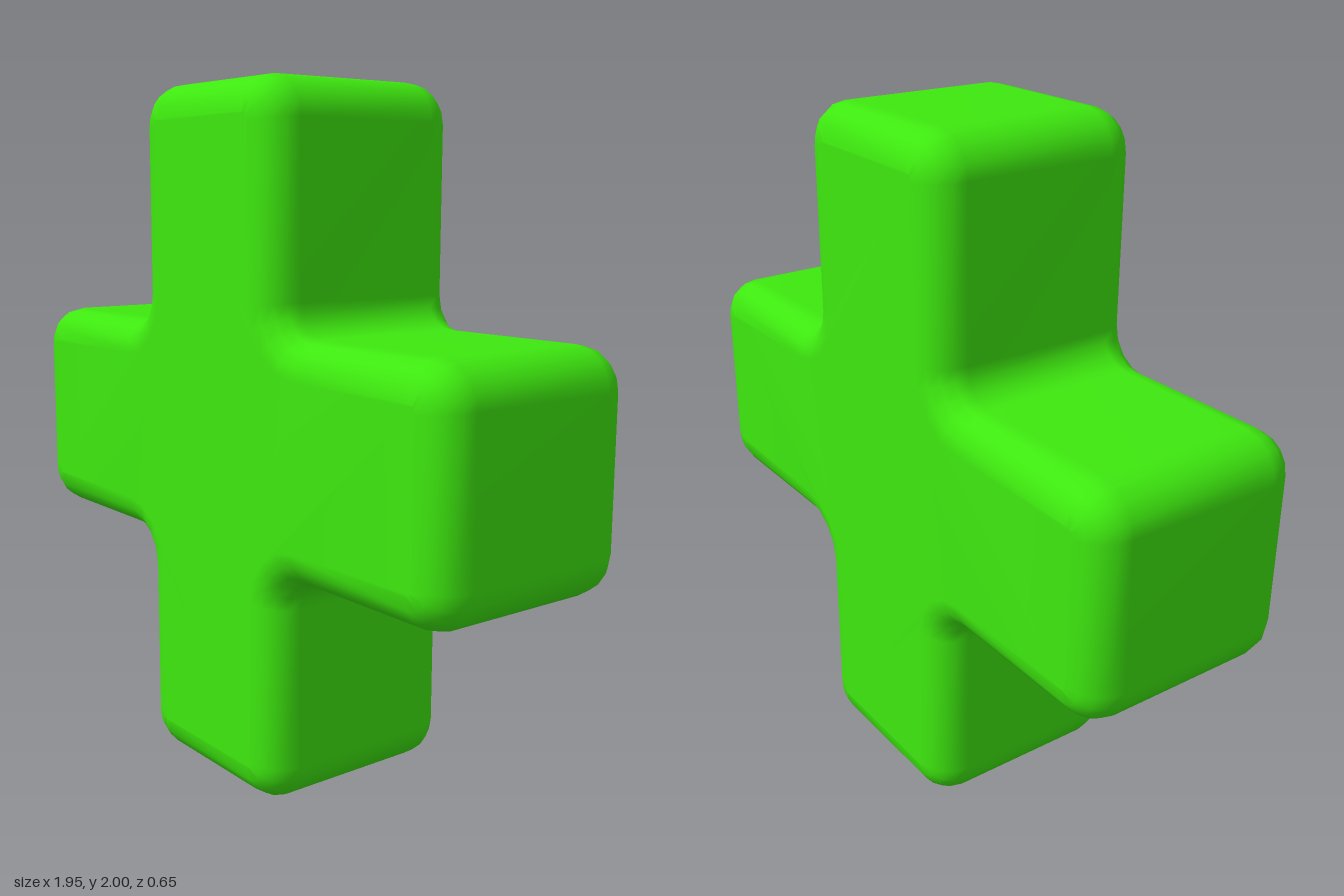
import * as THREE from 'three';
import { mergeVertices } from 'three/addons/utils/BufferGeometryUtils.js';

const HALF = 0.327;   // half width of each arm
const CORNER = 0.115; // rounding of the arm ends
const FILLET = 0.09;  // rounding of the inner corners
const BEVEL = 0.1;    // rounding of the front and back rims
const CENTRE_Y = 0.993;

// Outline of the plus: one fillet and two end corners per arm, turned four times.
function crossOutline() {
  const points = [];
  const lengths = [0.976, 2 - CENTRE_Y, 0.976, CENTRE_Y];
  const origin = new THREE.Vector2();
  const steps = 4;
  lengths.forEach((length, arm) => {
    const arc = (cx, cy, radius, from, to) => {
      for (let i = 0; i <= steps; i++) {
        const a = THREE.MathUtils.degToRad(from + (to - from) * i / steps);
        const p = new THREE.Vector2(cx + radius * Math.cos(a), cy + radius * Math.sin(a));
        points.push(p.rotateAround(origin, arm * Math.PI / 2));
      }
    };
    arc(HALF + FILLET, -HALF - FILLET, FILLET, 180, 90);
    arc(length - CORNER, -HALF + CORNER, CORNER, -90, 0);
    arc(length - CORNER, HALF - CORNER, CORNER, 0, 90);
  });
  return new THREE.Shape(points);
}

export function createModel() {
  const group = new THREE.Group();
  group.name = 'plusBlock';

  // Solid plus with soft rims all round
  const depth = 2 * (HALF - BEVEL);
  let geometry = new THREE.ExtrudeGeometry(crossOutline(), {
    depth,
    bevelEnabled: true,
    bevelThickness: BEVEL,
    bevelSize: BEVEL,
    bevelOffset: -BEVEL,
    bevelSegments: 4,
  });
  geometry.translate(0, CENTRE_Y, -depth / 2);

  // Shared vertices give smooth normals across the rims
  geometry.deleteAttribute('uv');
  geometry.deleteAttribute('normal');
  geometry = mergeVertices(geometry, 1e-4);
  geometry.computeVertexNormals();

  const plus = new THREE.Mesh(geometry, new THREE.MeshStandardMaterial({ color: 0x3ee80f }));
  plus.name = 'plusBody';
  group.add(plus);
  return group;
}
